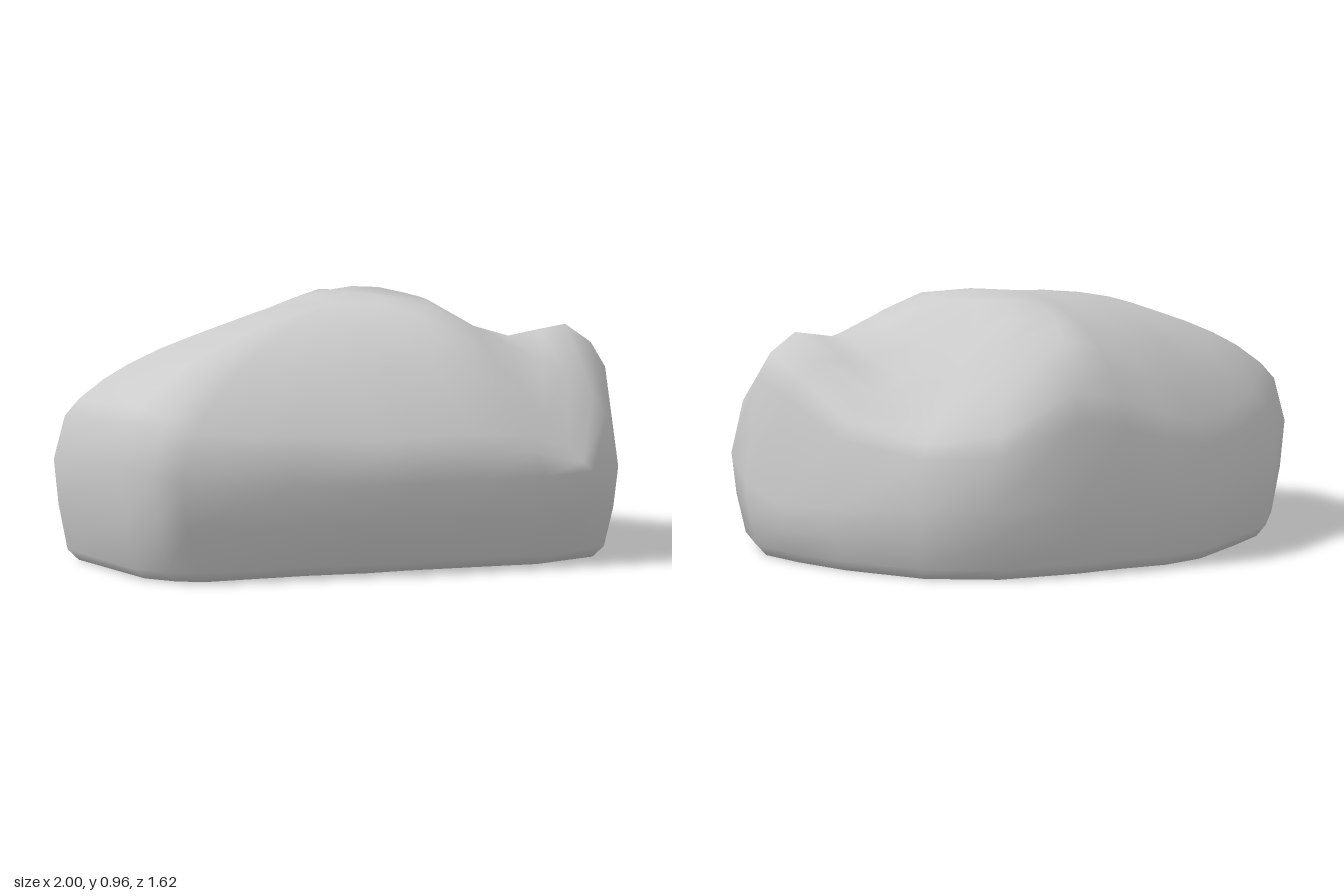
import * as THREE from 'three';
import { mergeVertices } from 'three/addons/utils/BufferGeometryUtils.js';

// Widest outline seen from above: x, z, height of widest point, roundness exponent, foot scale
const OUTLINE = [
  [-1.0, 0.08, 0.43, 2.6, 0.93], [-0.96, 0.23, 0.42, 2.4, 0.91], [-0.89, 0.32, 0.38, 2.2, 0.89],
  [-0.47, 0.47, 0.36, 2.1, 0.85], [-0.18, 0.59, 0.35, 2.1, 0.84], [0.0, 0.63, 0.35, 2.1, 0.84],
  [0.22, 0.7, 0.35, 2.2, 0.84], [0.44, 0.76, 0.35, 2.5, 0.85], [0.62, 0.81, 0.36, 2.9, 0.86],
  [0.82, 0.68, 0.34, 3.6, 0.95], [0.97, 0.45, 0.28, 5, 0.96], [1.0, 0.25, 0.23, 5.6, 0.95],
  [0.97, 0.0, 0.24, 4, 0.96], [0.86, -0.35, 0.27, 2.9, 0.97], [0.66, -0.57, 0.28, 2.5, 0.97],
  [0.36, -0.7, 0.28, 2.4, 0.96], [0.15, -0.75, 0.27, 2.3, 0.96], [-0.03, -0.81, 0.27, 2.15, 0.96],
  [-0.22, -0.81, 0.27, 2.15, 0.96], [-0.5, -0.71, 0.28, 2.4, 0.96], [-0.72, -0.62, 0.3, 2.6, 0.96],
  [-0.94, -0.44, 0.38, 2.7, 0.95],
];
const UPPER = [0.96, 0.91, 0.82, 0.73, 0.62, 0.5, 0.34, 0.17, 0];

// Crown height: gentle ridge, a drop toward +x, a knob at the front left corner,
// a slope to the front and a back that is fuller on the +x side
function crown(x, z) {
  const ridge = 0.96 - 0.13 * Math.max(0, 0.2 - x);
  const drop = 0.35 * THREE.MathUtils.smoothstep(x, 0.26, 0.73);
  const knob = 0.42 * Math.exp(-((x - 0.8) ** 2) / 0.09 - (z - 0.5) ** 2 / 0.12);
  const tilt = z > 0 ? -0.65 : THREE.MathUtils.clamp(0.9 * x, -0.35, 0.3);
  return ridge - drop + knob + tilt * z * z;
}

// Vertical rib of one outline point, from the middle of the base to the top
function rib([x, z, mid, power, foot]) {
  const inset = 0.02 + (1 - foot) * 0.4;
  const points = [[0, 0], [foot - inset, 0], [foot, 0.04], [foot + (1 - foot) * 0.65, mid * 0.55], [1, mid]];
  for (const s of UPPER) {
    const rise = Math.pow(1 - Math.pow(s, power), 1 / power);
    points.push([s, mid + (crown(x * s, z * s) - mid) * rise]);
  }
  return points.map(([s, y]) => [x * s, y, z * s]);
}

export function createModel() {
  const ribs = OUTLINE.map(rib);
  const rows = ribs[0].length;
  const index = [];
  ribs.forEach((_, i) => {
    const a = i * rows;
    const b = ((i + 1) % ribs.length) * rows;
    for (let j = 0; j < rows - 1; j++) {
      if (j > 0) index.push(a + j, b + j, b + j + 1);
      if (j < rows - 2) index.push(a + j, b + j + 1, a + j + 1);
    }
  });
  let geometry = new THREE.BufferGeometry();
  geometry.setAttribute('position', new THREE.Float32BufferAttribute(ribs.flat(2), 3));
  geometry.setIndex(index);
  geometry = mergeVertices(geometry, 1e-4);
  geometry.computeVertexNormals();

  const boulder = new THREE.Mesh(geometry, new THREE.MeshStandardMaterial({ color: 0xcccccc }));
  boulder.name = 'boulder';
  const group = new THREE.Group();
  group.name = 'rock';
  group.add(boulder);
  return group;
}
